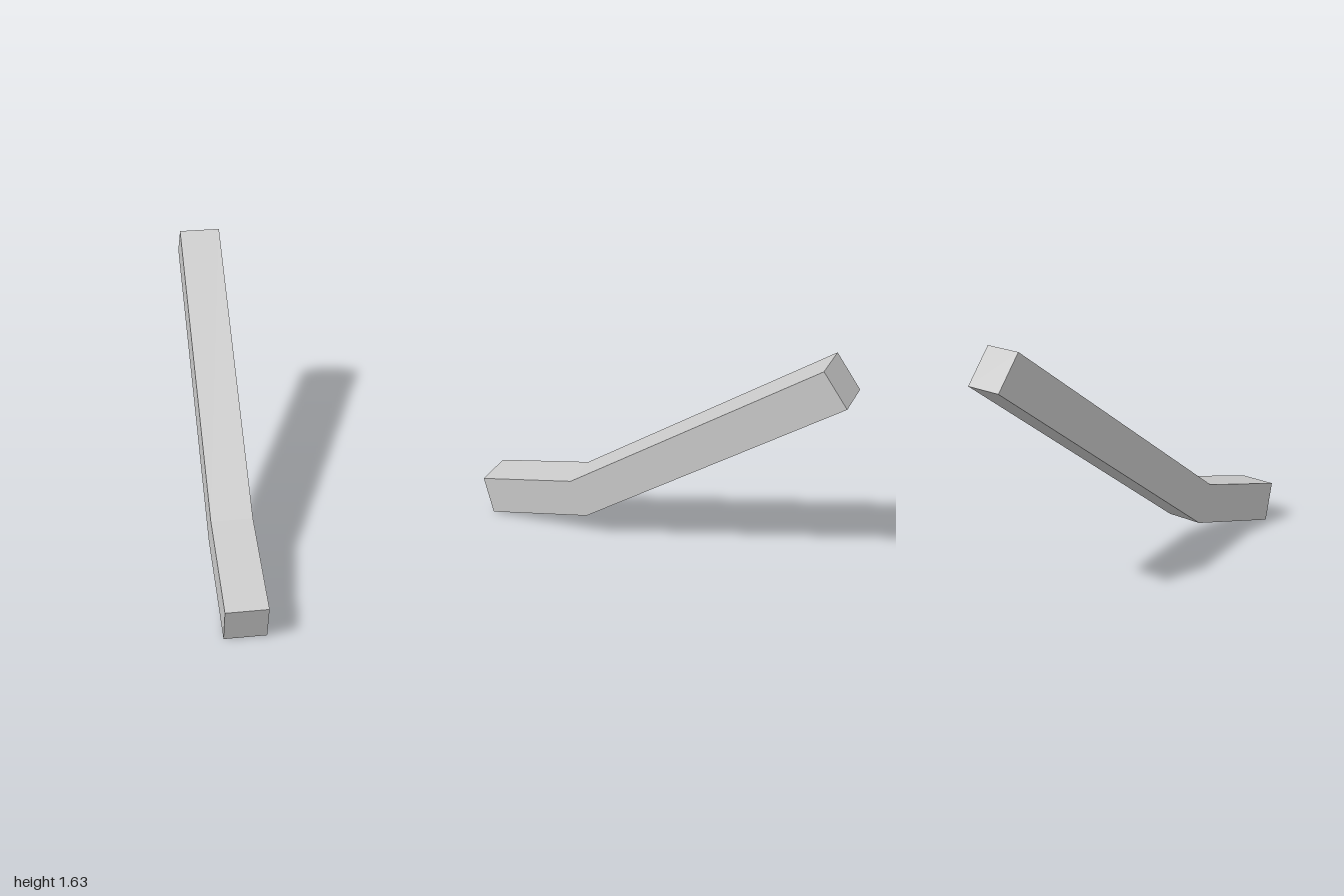
import * as THREE from 'three';

export function createModel() {
  const group = new THREE.Group();
  group.name = 'bentBeam';
  const width = 0.27;

  // Side profile: length along the beam, height
  const profile = new THREE.Shape([
    [1.216, 0], [1.277, 0.265], [0.588, 0.42],
    [-1.122, 1.63], [-1.28, 1.41], [0.474, 0.17],
  ].map(([s, y]) => new THREE.Vector2(s, y)));

  // Square beam with a shallow foot and a long rising arm
  const geometry = new THREE.ExtrudeGeometry(profile, { depth: width, bevelEnabled: false });
  geometry.translate(0, 0, -width / 2);

  const beam = new THREE.Mesh(geometry, new THREE.MeshStandardMaterial({ color: 0xcccccc, flatShading: true }));
  beam.name = 'beam';
  beam.rotation.y = -Math.PI / 4; // runs diagonally from back right to front left
  group.add(beam);
  return group;
}
